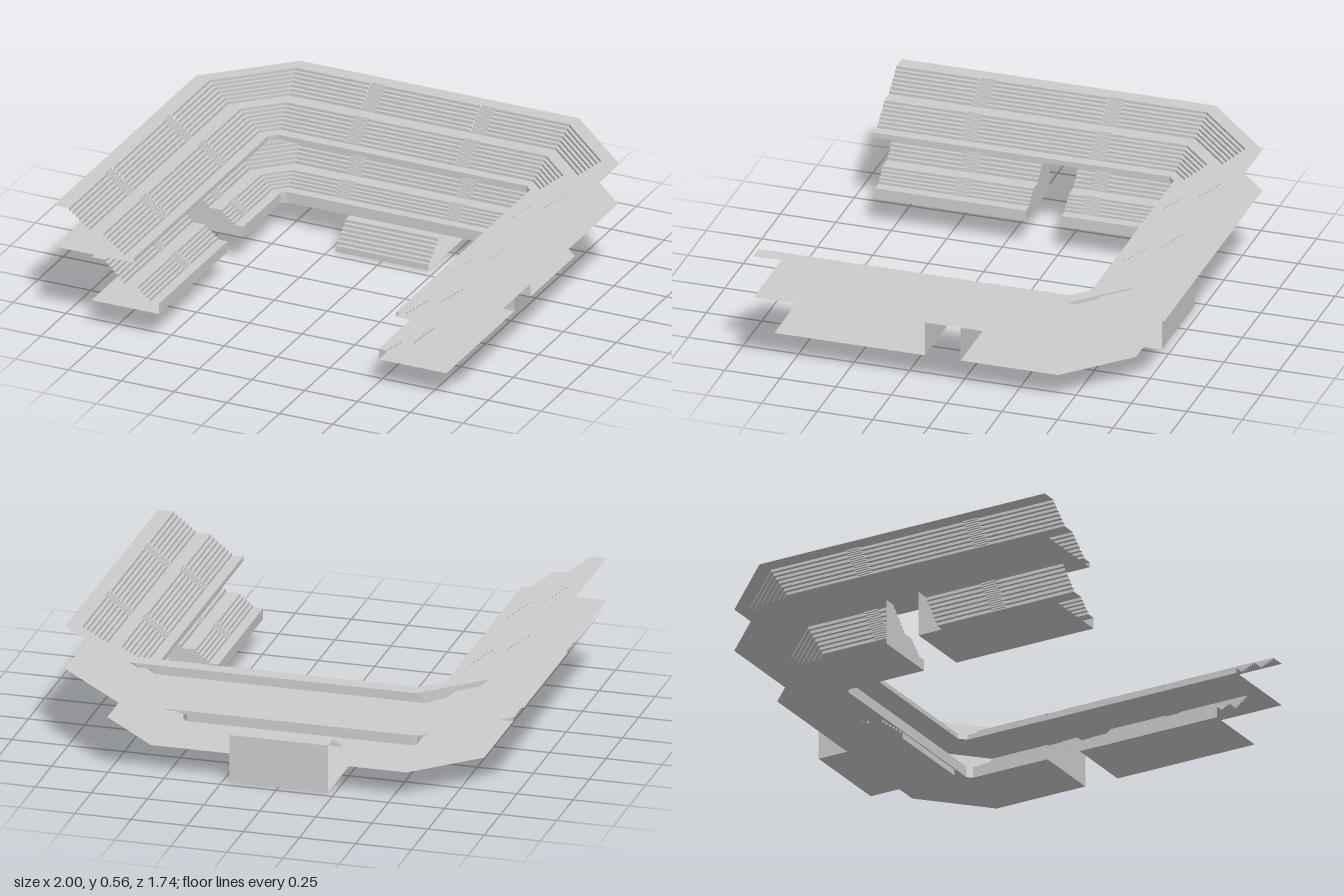
import * as THREE from 'three';

const material = new THREE.MeshStandardMaterial({ color: 0xcccccc, flatShading: true, side: THREE.DoubleSide });
const lerp = THREE.MathUtils.lerp;

// Flight of n risers and treads; a section point is [t, y], t running from inner (0) to outer (1) edge
function flight(t0, y0, t1, y1, n) {
  const pts = [];
  for (let i = 0; i < n; i++) {
    const y = lerp(y0, y1, (i + 1) / n);
    pts.push([lerp(t0, t1, i / n), y], [lerp(t0, t1, (i + 1) / n), y]);
  }
  return pts;
}

// Sweep sections along stations { in: [x, z], out: [x, z], aisle }
function sweep(name, stations, section, aisleSection = section) {
  const pos = [];
  const point = (s, [t, y]) => [lerp(s.in[0], s.out[0], t), y, lerp(s.in[1], s.out[1], t)];
  for (let i = 0; i < stations.length - 1; i++) {
    const p = stations[i], q = stations[i + 1];
    const sec = p.aisle ? aisleSection : section;
    for (let j = 0; j < sec.length - 1; j++) {
      const a = point(p, sec[j]), b = point(p, sec[j + 1]);
      const c = point(q, sec[j + 1]), d = point(q, sec[j]);
      pos.push(...a, ...b, ...c, ...a, ...c, ...d);
    }
  }
  const geo = new THREE.BufferGeometry();
  geo.setAttribute('position', new THREE.Float32BufferAttribute(pos, 3));
  geo.computeVertexNormals();
  const mesh = new THREE.Mesh(geo, material);
  mesh.name = name;
  return mesh;
}

// Mirror a run of stations to the other side; the aisle flag belongs to the span after a station
function mirror(run) {
  return run.map((s, i) => ({
    in: [-s.in[0], s.in[1]],
    out: [-s.out[0], s.out[1]],
    aisle: i > 0 && run[i - 1].aisle,
  })).reverse();
}

// Stepped section of a tier; the aisle has half-height steps
function tierSection(t, factor) {
  const [a, b, c, d] = t.breaks;
  const [base, low, mid, top] = t.levels;
  return [
    [0, base], [0, low], [a, low],
    ...flight(a, low, b, mid, t.steps[0] * factor),
    [c, mid],
    ...flight(c, mid, d, top, t.steps[1] * factor),
    [1, top],
  ];
}

function armStations(t, list) {
  return list.map(([z, aisle]) => ({ in: [t.inX, z], out: [t.outX, z], aisle }));
}

// Chamfered corner and the back straight up to its inner aisle edge
function cornerStations(t) {
  const back = (x, aisle) => ({ in: [x, t.inZ], out: [x, t.outZ], aisle });
  return [
    { in: [t.inX, t.inSideZ], out: [t.outX, t.outSideZ] },
    { in: [t.inBackX, t.inZ], out: [t.outBackX, t.outZ] },
    back(0.295, true), back(0.225, false),
  ];
}

function addRun(group, name, run, t) {
  group.add(sweep(name + 'Terraces', run, tierSection(t, 1), tierSection(t, 2)));
  group.add(sweep(name + 'Floor', run, [[1, t.levels[0]], [0, t.levels[0]]]));
}

// Vertical wall closing the terraces beside the passage
function endWall(t, z, side) {
  const pts = [...tierSection(t, 1), [1, t.levels[0]]];
  const shape = new THREE.Shape(pts.map(([u, y]) => new THREE.Vector2(side * lerp(t.inX, t.outX, u), y)));
  const mesh = new THREE.Mesh(new THREE.ShapeGeometry(shape), material);
  mesh.position.z = z;
  mesh.name = 'passageEndWall';
  return mesh;
}

export function createModel() {
  const model = new THREE.Group();
  model.name = 'grandstand';

  const upper = {
    inX: 0.62, outX: 1, inZ: -0.495, outZ: -0.87,
    inSideZ: -0.465, outSideZ: -0.545, inBackX: 0.59, outBackX: 0.66,
    levels: [0.37, 0.392, 0.478, 0.565], breaks: [0.13, 0.42, 0.56, 0.85], steps: [7, 7],
  };
  const lower = {
    inX: 0.52, outX: 0.84, inZ: -0.4, outZ: -0.71,
    inSideZ: -0.38, outSideZ: -0.45, inBackX: 0.5, outBackX: 0.57,
    levels: [0.13, 0.18, 0.237, 0.335], breaks: [0.14, 0.36, 0.52, 0.84], steps: [5, 7],
  };

  // Upper tier: one unbroken U
  const upperTier = new THREE.Group();
  upperTier.name = 'upperTier';
  const upperHalf = [
    ...armStations(upper, [[0.87], [0.495, true], [0.425], [-0.085, true], [-0.155]]),
    ...cornerStations(upper),
  ];
  addRun(upperTier, 'upper', [...upperHalf, ...mirror(upperHalf)], upper);
  model.add(upperTier);

  // Lower tier: a U at the back and two detached side blocks
  const lowerTier = new THREE.Group();
  lowerTier.name = 'lowerTier';
  const lowerHalf = [
    ...armStations(lower, [[-0.01], [-0.085, true], [-0.155]]),
    ...cornerStations(lower),
  ];
  addRun(lowerTier, 'lowerBack', [...lowerHalf, ...mirror(lowerHalf)], lower);
  const sideRun = armStations(lower, [[0.83], [0.495, true], [0.425], [0.15]]);
  addRun(lowerTier, 'lowerLeft', sideRun, lower);
  addRun(lowerTier, 'lowerRight', mirror(sideRun), lower);
  for (const side of [1, -1]) for (const z of [-0.01, 0.15]) lowerTier.add(endWall(lower, z, side));
  model.add(lowerTier);

  // Small central stand under the back, with open sides
  const ends = [0.22, -0.22].map((x) => ({ in: [x, -0.295], out: [x, -0.71] }));
  model.add(sweep('centreStand', ends, [
    [1, 0], [0, 0], [0, 0.015],
    ...flight(0, 0.015, 0.28, 0.11, 7),
    [0.42, 0.11],
    ...flight(0.42, 0.11, 0.86, 0.215, 8),
    [1, 0.215], [1, 0],
  ]));
  return model;
}
